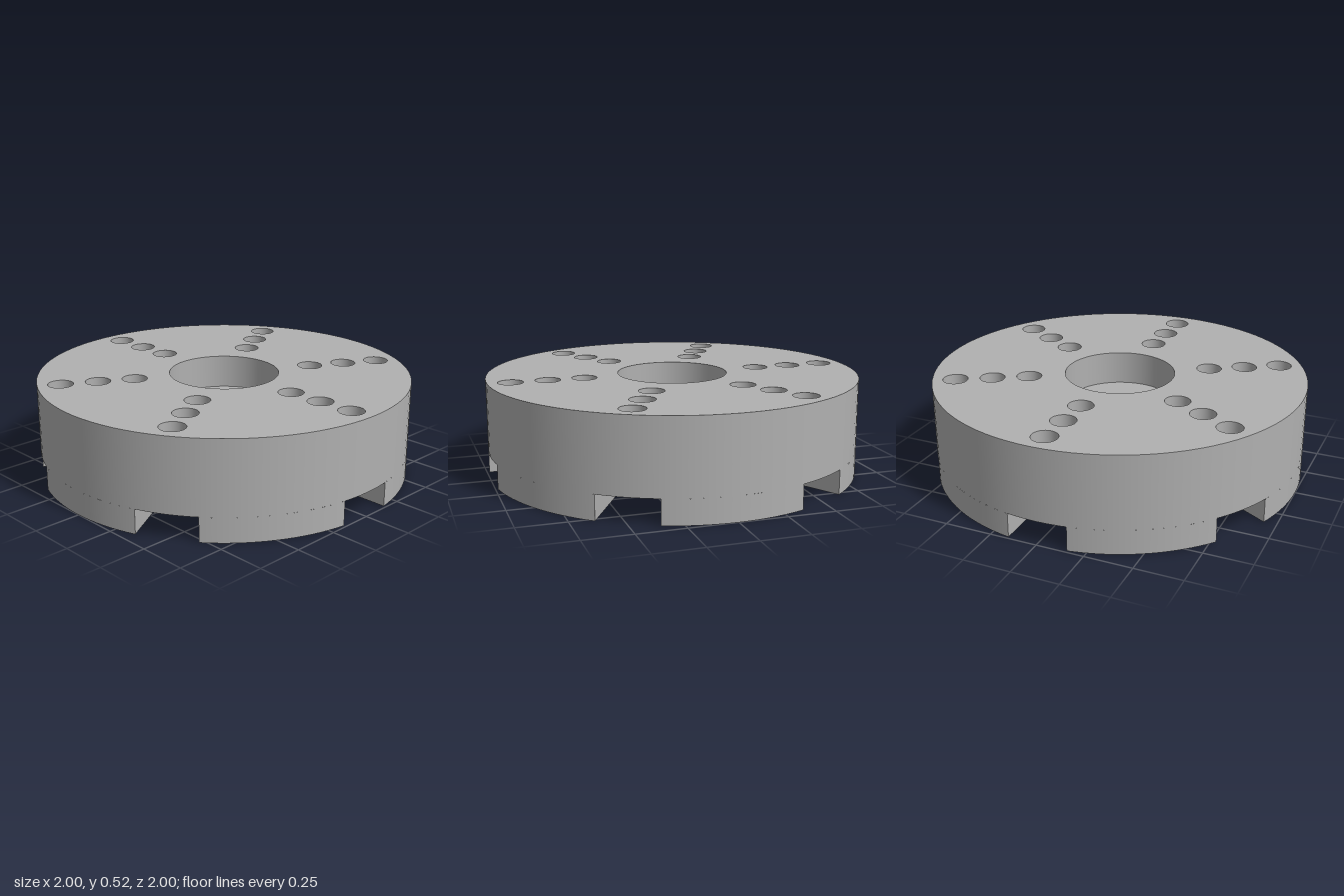
import * as THREE from 'three';
import { mergeGeometries } from 'three/addons/utils/BufferGeometryUtils.js';

const R = 1, H = 0.52, SLOT_TOP = 0.13, SLOT_HALF = 0.157;
const BORE_R = 0.125, RECESS_R = 0.295, RECESS_FLOOR = 0.34;
const HOLE_R = 0.067, HOLE_RADII = [0.488, 0.683, 0.878];
const SIXTH = Math.PI / 3;
const DELTA = Math.asin(SLOT_HALF / R);          // half angle of a slot mouth
const APEX = SLOT_HALF / Math.sin(SIXTH / 2);    // inner tip of a foot

// angles are measured from +z towards +x
const polar = (r, a) => new THREE.Vector2(r * Math.sin(a), r * Math.cos(a));
const arc = (r, a0, a1, n) =>
  Array.from({ length: n + 1 }, (_, i) => polar(r, a0 + ((a1 - a0) * i) / n));
const circle = (r, n, c = new THREE.Vector2()) =>
  arc(r, 0, Math.PI * 2, n).slice(0, n).map((p) => p.add(c));

const holeCentres = [];
for (let k = 0; k < 6; k++) for (const r of HOLE_RADII) holeCentres.push(polar(r, k * SIXTH));

// flat horizontal face facing up or down
function face(outline, holes, y, up) {
  const shape = new THREE.Shape(outline);
  shape.holes = holes.map((h) => new THREE.Path(h));
  return new THREE.ShapeGeometry(shape).rotateX(up ? -Math.PI / 2 : Math.PI / 2).translate(0, y, 0);
}

// open cylindrical wall between two heights
function wall(r, y0, y1, n, a0 = 0, sweep = Math.PI * 2) {
  return new THREE.CylinderGeometry(r, r, y1 - y0, n, 1, true, a0, sweep).translate(0, (y0 + y1) / 2, 0);
}

// wedge foot between two neighbouring slots
function footGeometry() {
  const a0 = DELTA, a1 = SIXTH - DELTA;
  const near = APEX * Math.cos(SIXTH / 2), far = R * Math.cos(DELTA);
  const side = (s) => new THREE.PlaneGeometry(far - near, SLOT_TOP)
    .rotateY((s * Math.PI) / 2).translate(-s * SLOT_HALF, SLOT_TOP / 2, (near + far) / 2);
  return mergeGeometries([
    face([polar(APEX, SIXTH / 2), ...arc(R, a0, a1, 16)], [], 0, false),
    wall(R, 0, SLOT_TOP, 16, a0, a1 - a0),
    side(-1),
    side(1).rotateY(SIXTH),
  ]);
}

export function createModel() {
  const group = new THREE.Group();
  const metal = new THREE.MeshStandardMaterial({ color: 0xb0b0b0, side: THREE.DoubleSide });
  metal.name = 'grey metal';
  const add = (name, geometry) => {
    const mesh = new THREE.Mesh(geometry, metal);
    mesh.name = name;
    group.add(mesh);
    return mesh;
  };
  const smallHoles = holeCentres.map((c) => circle(HOLE_R, 32, c));

  // disc body
  add('topFace', face(circle(R, 96), [circle(RECESS_R, 64), ...smallHoles], H, true));
  add('rim', wall(R, SLOT_TOP, H, 96));

  // stepped central bore
  add('recessWall', wall(RECESS_R, RECESS_FLOOR, H, 64));
  add('recessFloor', face(circle(RECESS_R, 64), [circle(BORE_R, 48)], RECESS_FLOOR, true));
  add('boreWall', wall(BORE_R, SLOT_TOP, RECESS_FLOOR, 48));

  // star-shaped slot ceiling
  const star = [];
  for (let k = 0; k < 6; k++) {
    const s = k * SIXTH;
    star.push(...arc(R, s - DELTA, s + DELTA, 6), polar(APEX, s + SIXTH / 2));
  }
  add('slotCeiling', face(star, [circle(BORE_R, 48), ...smallHoles], SLOT_TOP, false));

  // rows of through holes
  add('holeWalls', mergeGeometries(
    holeCentres.map((c) => wall(HOLE_R, SLOT_TOP, H, 32).translate(c.x, 0, c.y))));

  // six feet
  const foot = footGeometry();
  for (let k = 0; k < 6; k++) add('foot', foot).rotation.y = k * SIXTH;

  return group;
}
